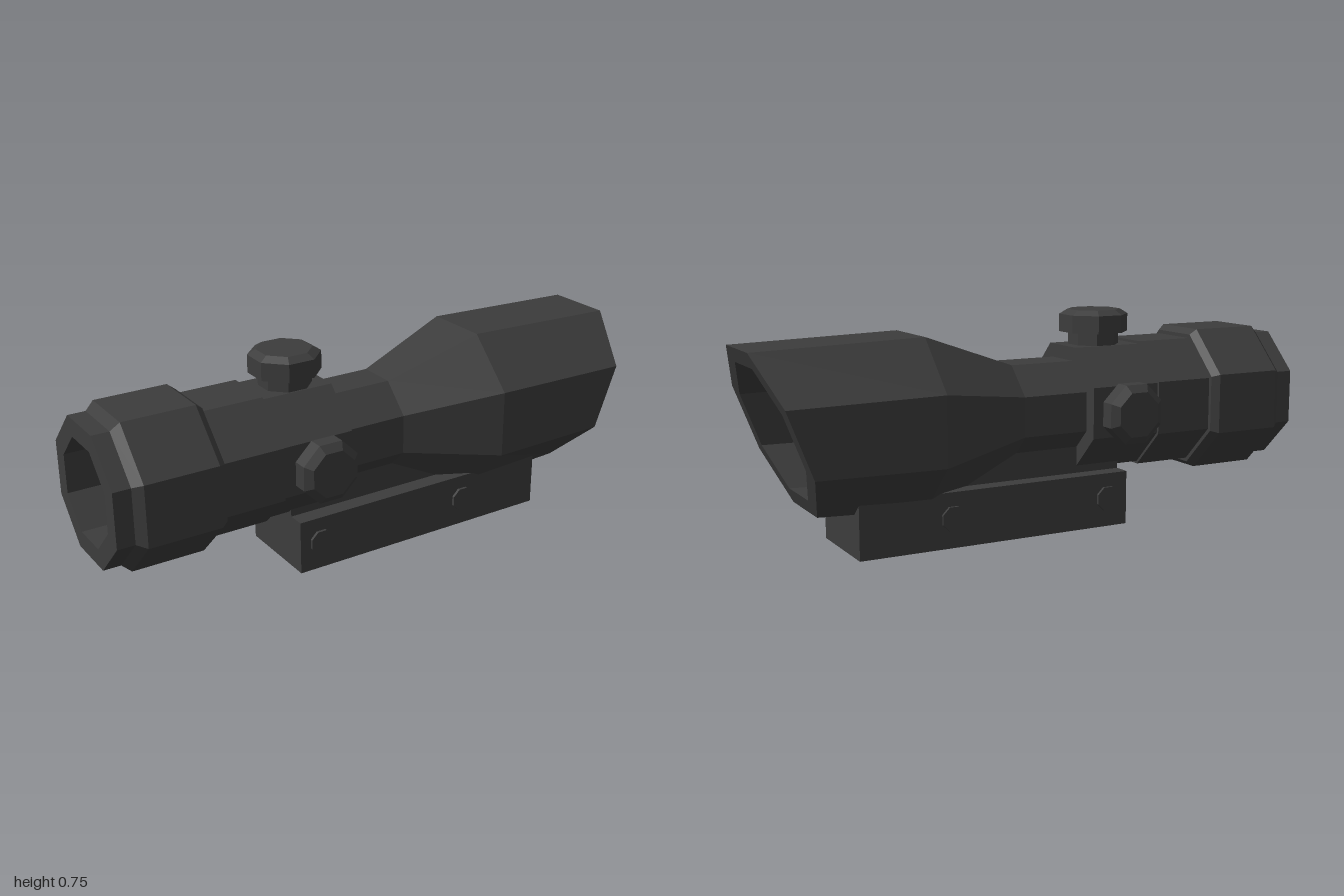
import * as THREE from 'three';

const CY = 0.417;                      // height of the optical axis
const SIDES = 8;
const toRadius = 1 / Math.cos(Math.PI / SIDES); // apothem to corner radius

// Octagonal section across the x axis; slope leans it so that the top reaches further forward.
function section(x, rz, ry = rz, slope = 0) {
  return Array.from({ length: SIDES }, (_, i) => {
    const a = ((i + 0.5) / SIDES) * Math.PI * 2;
    const y = Math.cos(a) * ry * toRadius;
    return [x + slope * y, CY + y, Math.sin(a) * rz * toRadius];
  });
}

// Skin a list of sections; lists running towards -x face inwards.
function loft(sections) {
  const index = [];
  for (let s = 0; s < sections.length - 1; s++) {
    for (let i = 0; i < SIDES; i++) {
      const j = (i + 1) % SIDES;
      const a = s * SIDES + i, b = s * SIDES + j;
      index.push(a, b, b + SIDES, a, b + SIDES, a + SIDES);
    }
  }
  const g = new THREE.BufferGeometry();
  g.setAttribute('position', new THREE.Float32BufferAttribute(sections.flat(2), 3));
  g.setIndex(index);
  const flat = g.toNonIndexed();
  flat.computeVertexNormals();
  return flat;
}

export function createModel() {
  const model = new THREE.Group();
  model.name = 'rifleScope';
  const metal = new THREE.MeshStandardMaterial({ color: 0x3c3c3c, flatShading: true });
  metal.name = 'darkMetal';

  const add = (name, geometry, parent = model) => {
    const mesh = new THREE.Mesh(geometry, metal);
    mesh.name = name;
    parent.add(mesh);
    return mesh;
  };
  const tube = (name, profile) => add(name, loft(profile.map((p) => section(...p))));
  const box = (name, x0, x1, y0, y1, depth) =>
    add(name, new THREE.BoxGeometry(x1 - x0, y1 - y0, depth).translate((x0 + x1) / 2, (y0 + y1) / 2, 0));
  const prism = (top, bottom, y0, y1) =>
    new THREE.CylinderGeometry(top * toRadius, bottom * toRadius, y1 - y0, SIDES)
      .rotateY(Math.PI / SIDES).translate(0, (y0 + y1) / 2, 0);

  // Outer tube, from the eyepiece to the slanted front opening
  const rim = [0.9, 0.285, 0.267, 0.381];
  const innerRim = [0.9, 0.228, 0.214, 0.381];
  tube('eyepiece', [[-1, 0.165], [-1, 0.228], [-0.94, 0.228], [-0.91, 0.254],
    [-0.66, 0.254], [-0.635, 0.235], [-0.635, 0.222]]);
  tube('rearTube', [[-0.635, 0.222], [-0.42, 0.222], [-0.42, 0.213]]);
  tube('turretRing', [[-0.42, 0.213], [-0.16, 0.213], [-0.16, 0.165]]);
  tube('neck', [[-0.16, 0.165], [0.08, 0.165]]);
  tube('objectiveHood', [[0.08, 0.165], [0.42, 0.284], rim, innerRim]);
  tube('bore', [innerRim, [0.42, 0.23], [0.08, 0.163], [-1, 0.165]]);

  // Top adjustment knob
  const topKnob = new THREE.Group();
  topKnob.name = 'topKnob';
  topKnob.position.set(-0.285, 0, 0);
  add('topKnobStem', prism(0.083, 0.083, 0.6, 0.68), topKnob);
  add('topKnobCap', prism(0.113, 0.113, 0.675, 0.737), topKnob);
  add('topKnobBevel', prism(0.087, 0.113, 0.737, 0.754), topKnob);
  model.add(topKnob);

  // Side knobs on a shaft that crosses the bore
  add('sideKnobShaft', prism(0.076, 0.076, -0.25, 0.25).rotateX(Math.PI / 2).translate(-0.285, CY, 0));
  for (const side of [1, -1]) {
    const knob = new THREE.Group();
    knob.name = side > 0 ? 'frontSideKnob' : 'backSideKnob';
    knob.position.set(-0.285, CY, 0);
    knob.rotation.x = side * Math.PI / 2;
    add('sideKnobCap', prism(0.101, 0.101, 0.235, 0.285), knob);
    add('sideKnobBevel', prism(0.076, 0.101, 0.285, 0.306), knob);
    model.add(knob);
  }

  // Mounting base, the narrower riser under the tube, and its bolts
  box('mountBase', -0.33, 0.675, 0, 0.19, 0.32);
  box('mountRiser', -0.33, 0.3, 0.18, 0.285, 0.2);
  for (const x of [-0.25, 0.345]) {
    add('mountBolt', prism(0.041, 0.041, -0.17, 0.17).rotateX(Math.PI / 2).translate(x, 0.101, 0));
  }
  return model;
}
